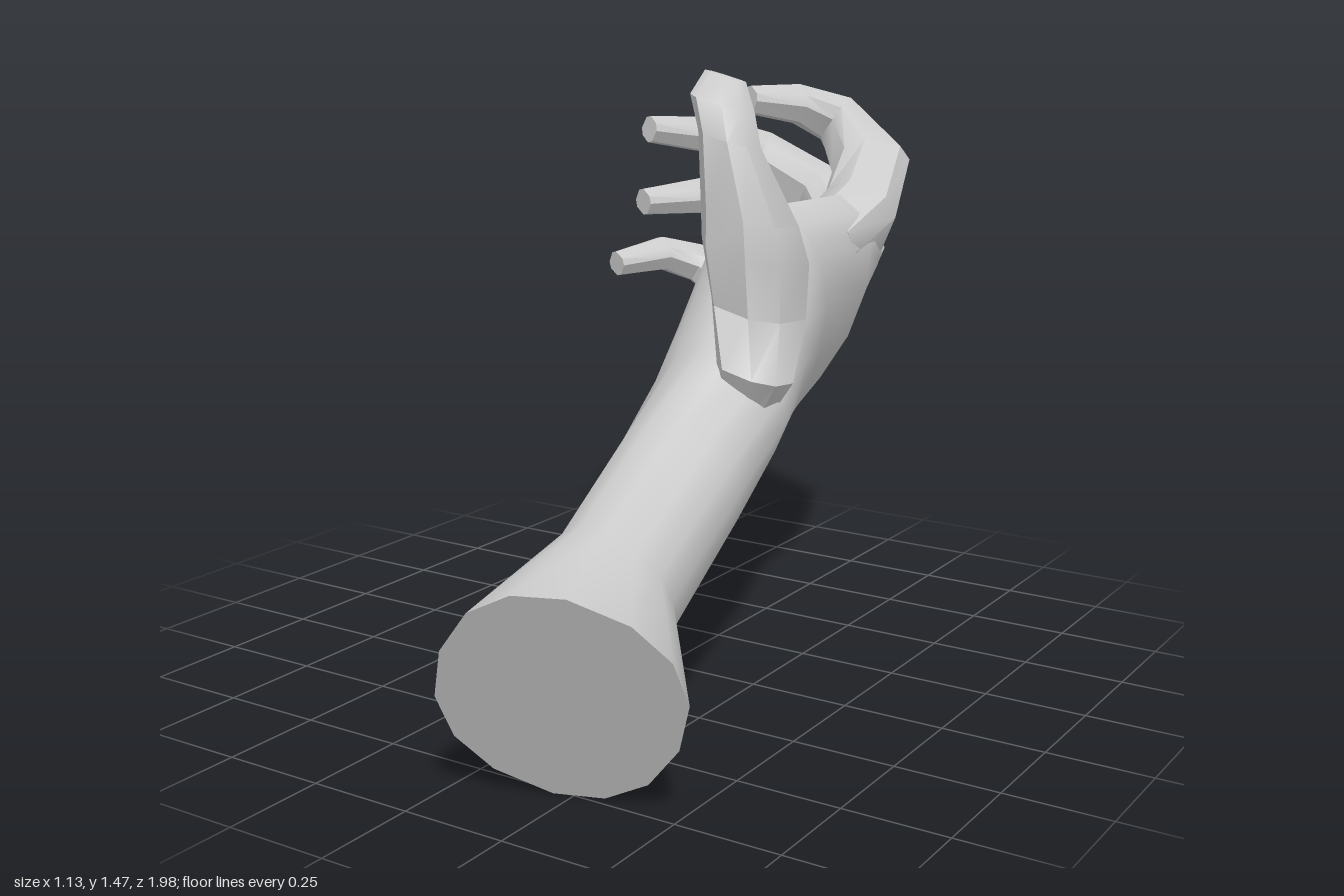
import * as THREE from 'three';
import { toCreasedNormals } from 'three/addons/utils/BufferGeometryUtils.js';

const V = (a) => new THREE.Vector3(...a);
const material = new THREE.MeshStandardMaterial({ color: 0xcccccc });

// Skin a list of rings [centre, half axis A, half axis B]; power < 1 makes them boxier
function loft(name, rings, sides, power, crease) {
  const pos = [], idx = [];
  const soft = (v) => Math.sign(v) * Math.pow(Math.abs(v), power);
  for (const [c, a, b] of rings) {
    for (let j = 0; j < sides; j++) {
      const t = ((j + 0.5) / sides) * Math.PI * 2;
      const p = c.clone().addScaledVector(a, soft(Math.cos(t))).addScaledVector(b, soft(Math.sin(t)));
      pos.push(p.x, p.y, p.z);
    }
  }
  const last = (rings.length - 1) * sides, startCap = rings.length * sides;
  pos.push(...rings[0][0].toArray(), ...rings[rings.length - 1][0].toArray());
  for (let j = 0; j < sides; j++) {
    const k = (j + 1) % sides;
    for (let i = 0; i < last; i += sides) {
      idx.push(i + j, i + k, i + sides + k, i + j, i + sides + k, i + sides + j);
    }
    idx.push(startCap, k, j, startCap + 1, last + j, last + k);
  }
  const geo = new THREE.BufferGeometry();
  geo.setAttribute('position', new THREE.Float32BufferAttribute(pos, 3));
  geo.setIndex(idx);
  const mesh = new THREE.Mesh(toCreasedNormals(geo, crease), material);
  mesh.name = name;
  return mesh;
}

// Finger: rings set square to a path of joints [x, y, z, half width, half depth]
function finger(name, joints) {
  const across = V([0.45, 0.82, 0.2]);
  const pts = joints.map((j) => V(j.slice(0, 3)));
  const rings = pts.map((p, i) => {
    const before = p.clone().sub(pts[Math.max(i - 1, 0)]).normalize();
    const after = pts[Math.min(i + 1, pts.length - 1)].clone().sub(p).normalize();
    const dir = before.add(after).normalize();
    const a = across.clone().addScaledVector(dir, -across.dot(dir)).normalize();
    const b = dir.clone().cross(a);
    return [p, a.multiplyScalar(joints[i][3]), b.multiplyScalar(joints[i][4])];
  });
  return loft(name, rings, 8, 0.7, 0.75);
}

export function createModel() {
  const hand = new THREE.Group();
  hand.name = 'hand';

  // Forearm, wrist and palm in one skin, thinning out between the knuckles
  const arm = [
    [[0.297, 0.255, 0.863], [0.15, 0.24, 0.07], [0.213, -0.1, -0.116]],
    [[0.215, 0.385, 0.55], [0.07, 0.14, 0.07], [0.15, -0.06, -0.01]],
    [[0.155, 0.53, 0.2], [0.08, 0.14, 0.06], [0.145, -0.07, -0.03]],
    [[0.1, 0.635, -0.06], [0.12, 0.16, 0.04], [0.14, -0.08, -0.05]],
    [[0.08, 0.735, -0.2], [0.13, 0.23, 0.08], [0.14, -0.085, -0.06]],
    [[0.065, 0.82, -0.32], [0.14, 0.3, 0.11], [0.14, -0.09, -0.07]],
    [[0.06, 0.84, -0.53], [0.165, 0.28, 0.05], [0.125, -0.085, -0.06]],
    [[0.055, 0.88, -0.67], [0.165, 0.24, 0.02], [0.085, -0.065, -0.05]],
    [[0.03, 0.91, -0.77], [0.13, 0.2, 0.01], [0.045, -0.035, -0.03]],
  ].map((r) => r.map(V));
  hand.add(loft('forearmAndPalm', arm, 14, 0.9, 1));

  // Thumb: level rings climbing from the wrist [centre, half depth z, half width x]
  const thumb = [
    [[0.19, 0.65, -0.02], 0.05, 0.06],
    [[0.245, 0.77, 0.0], 0.09, 0.085],
    [[0.185, 0.9, -0.12], 0.14, 0.1],
    [[0.18, 1.04, -0.11], 0.15, 0.115],
    [[0.175, 1.13, -0.09], 0.125, 0.108],
    [[0.15, 1.31, -0.035], 0.07, 0.07],
    [[0.115, 1.39, -0.06], 0.065, 0.075],
    [[0.09, 1.45, -0.115], 0.035, 0.05],
  ].map(([c, d, w]) => [V(c), new THREE.Vector3(0, w * 0.1, d), new THREE.Vector3(w, -w * 0.25, 0)]);
  hand.add(loft('thumb', thumb, 8, 0.8, 0.7));

  // Four curled fingers from knuckle to tip, their roots lying along the back of the hand
  const fingers = {
    indexFinger: [
      [0.17, 0.99, -0.46, 0.11, 0.09], [0.175, 1.06, -0.64, 0.115, 0.1], [0.13, 1.18, -0.81, 0.09, 0.1],
      [-0.02, 1.295, -0.89, 0.062, 0.075], [-0.085, 1.34, -0.78, 0.048, 0.055], [-0.155, 1.355, -0.65, 0.035, 0.035],
    ],
    middleFinger: [
      [0.14, 0.87, -0.5, 0.09, 0.08], [0.11, 0.95, -0.74, 0.095, 0.085], [-0.06, 1.08, -0.89, 0.08, 0.08],
      [-0.26, 1.185, -0.89, 0.06, 0.075], [-0.34, 1.245, -0.76, 0.045, 0.055], [-0.425, 1.27, -0.57, 0.033, 0.035],
    ],
    ringFinger: [
      [0.08, 0.76, -0.52, 0.09, 0.08], [0.04, 0.84, -0.76, 0.09, 0.085], [-0.11, 0.93, -0.91, 0.075, 0.075],
      [-0.28, 1.015, -0.9, 0.06, 0.075], [-0.36, 1.075, -0.77, 0.045, 0.055], [-0.445, 1.07, -0.57, 0.033, 0.035],
    ],
    littleFinger: [
      [0.0, 0.66, -0.46, 0.08, 0.07], [-0.08, 0.7, -0.7, 0.085, 0.085], [-0.24, 0.765, -0.84, 0.067, 0.07],
      [-0.42, 0.87, -0.82, 0.048, 0.06], [-0.48, 0.905, -0.72, 0.042, 0.048], [-0.535, 0.89, -0.57, 0.032, 0.032],
    ],
  };
  for (const [name, joints] of Object.entries(fingers)) hand.add(finger(name, joints));

  return hand;
}
